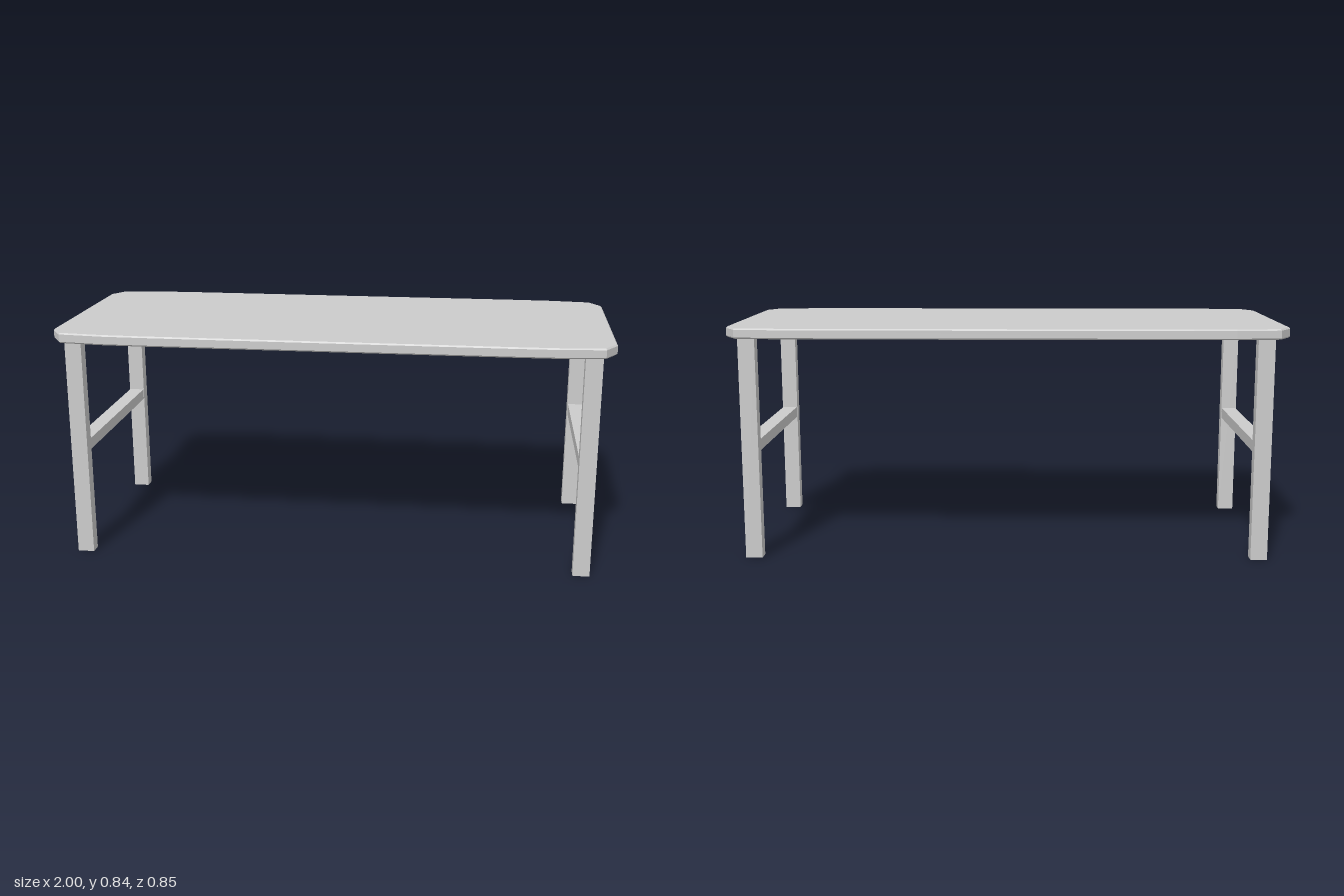
import * as THREE from 'three';

const material = new THREE.MeshStandardMaterial({ color: 0xcccccc, flatShading: true });

// Box given by its lower and upper corner
function box(name, min, max) {
  const [w, h, d] = max.map((v, i) => v - min[i]);
  const mesh = new THREE.Mesh(new THREE.BoxGeometry(w, h, d), material);
  mesh.position.set(min[0] + w / 2, min[1] + h / 2, min[2] + d / 2);
  mesh.name = name;
  return mesh;
}

// Slab with faceted rounded corners and a fine chamfer round the rim
function tabletop(bottom, top) {
  const corner = [[1, 0.335], [0.957, 0.405], [0.8, 0.421], [0.65, 0.424]];
  const mirrored = [...corner].reverse();
  const outline = [
    ...corner,
    ...mirrored.map(([x, z]) => [-x, z]),
    ...corner.map(([x, z]) => [-x, -z]),
    ...mirrored.map(([x, z]) => [x, -z]),
  ].map(([x, z]) => new THREE.Vector2(x, z));
  const bevel = 0.005;
  const geometry = new THREE.ExtrudeGeometry(new THREE.Shape(outline), {
    depth: top - bottom - 2 * bevel,
    bevelEnabled: true,
    bevelThickness: bevel,
    bevelSize: bevel,
    bevelOffset: -bevel,
    bevelSegments: 1,
  });
  geometry.rotateX(-Math.PI / 2);
  geometry.translate(0, bottom + bevel, 0);
  const mesh = new THREE.Mesh(geometry, material);
  mesh.name = 'tabletop';
  return mesh;
}

export function createModel() {
  const table = new THREE.Group();
  table.name = 'table';
  const underside = 0.802;
  table.add(tabletop(underside, 0.839));

  // An end frame on each side: two legs joined by a rail
  for (const [side, x] of [['left', 0.92], ['right', -0.912]]) {
    const frame = new THREE.Group();
    frame.name = `${side}EndFrame`;
    frame.add(
      box('frontLeg', [x - 0.03, 0, 0.35], [x + 0.03, underside, 0.394]),
      box('backLeg', [x - 0.03, 0, -0.383], [x + 0.03, underside, -0.338]),
      box('rail', [x - 0.028, 0.39, -0.338], [x + 0.028, 0.431, 0.35]),
    );
    table.add(frame);
  }
  return table;
}
